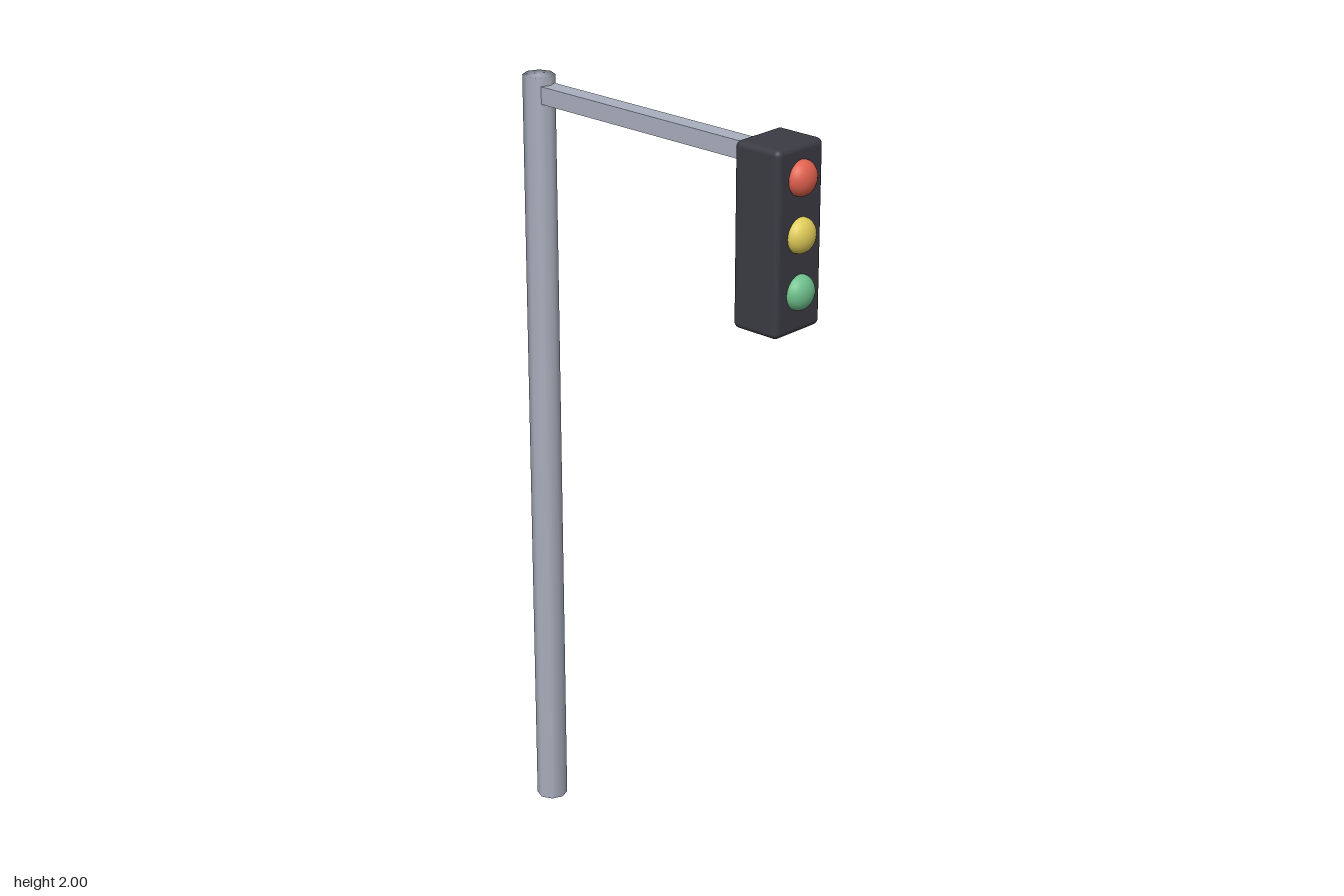
import * as THREE from 'three';
import { mergeVertices } from 'three/addons/utils/BufferGeometryUtils.js';
import { RoundedBoxGeometry } from 'three/addons/geometries/RoundedBoxGeometry.js';

// Weld all corners so normals blend smoothly over the edges
function smooth(geometry) {
  geometry.deleteAttribute('normal');
  geometry.deleteAttribute('uv');
  const welded = mergeVertices(geometry, 1e-4);
  welded.computeVertexNormals();
  return welded;
}

export function createModel() {
  const model = new THREE.Group();
  const metal = new THREE.MeshStandardMaterial({ color: 0xa9afbd });
  const dark = new THREE.MeshStandardMaterial({ color: 0x3b3b44 });

  function add(name, geometry, material, x, y, z) {
    const mesh = new THREE.Mesh(geometry, material);
    mesh.name = name;
    mesh.position.set(x, y, z);
    model.add(mesh);
    return mesh;
  }

  // Octagonal upright with softened ends
  add('pole', smooth(new THREE.CylinderGeometry(0.04, 0.04, 2, 8)), metal, 0, 1, -0.415);

  // Square arm reaching forward from the pole to the signal box
  add('arm', new THREE.BoxGeometry(0.046, 0.044, 0.71), metal, 0, 1.957, -0.045);

  // Signal box
  add('signalHousing', new RoundedBoxGeometry(0.157, 0.45, 0.134, 3, 0.015), dark, 0, 1.775, 0.355);

  // Flattened domed lamps, top to bottom
  const lamps = [
    ['redLamp', 0xe0614e, 1.923],
    ['yellowLamp', 0xdfcb58, 1.787],
    ['greenLamp', 0x6fc08c, 1.65],
  ];
  for (const [name, color, y] of lamps) {
    const lamp = new THREE.SphereGeometry(0.043, 24, 16);
    lamp.scale(1, 1, 0.75);
    add(name, lamp, new THREE.MeshStandardMaterial({ color }), 0, y, 0.423);
  }

  return model;
}
